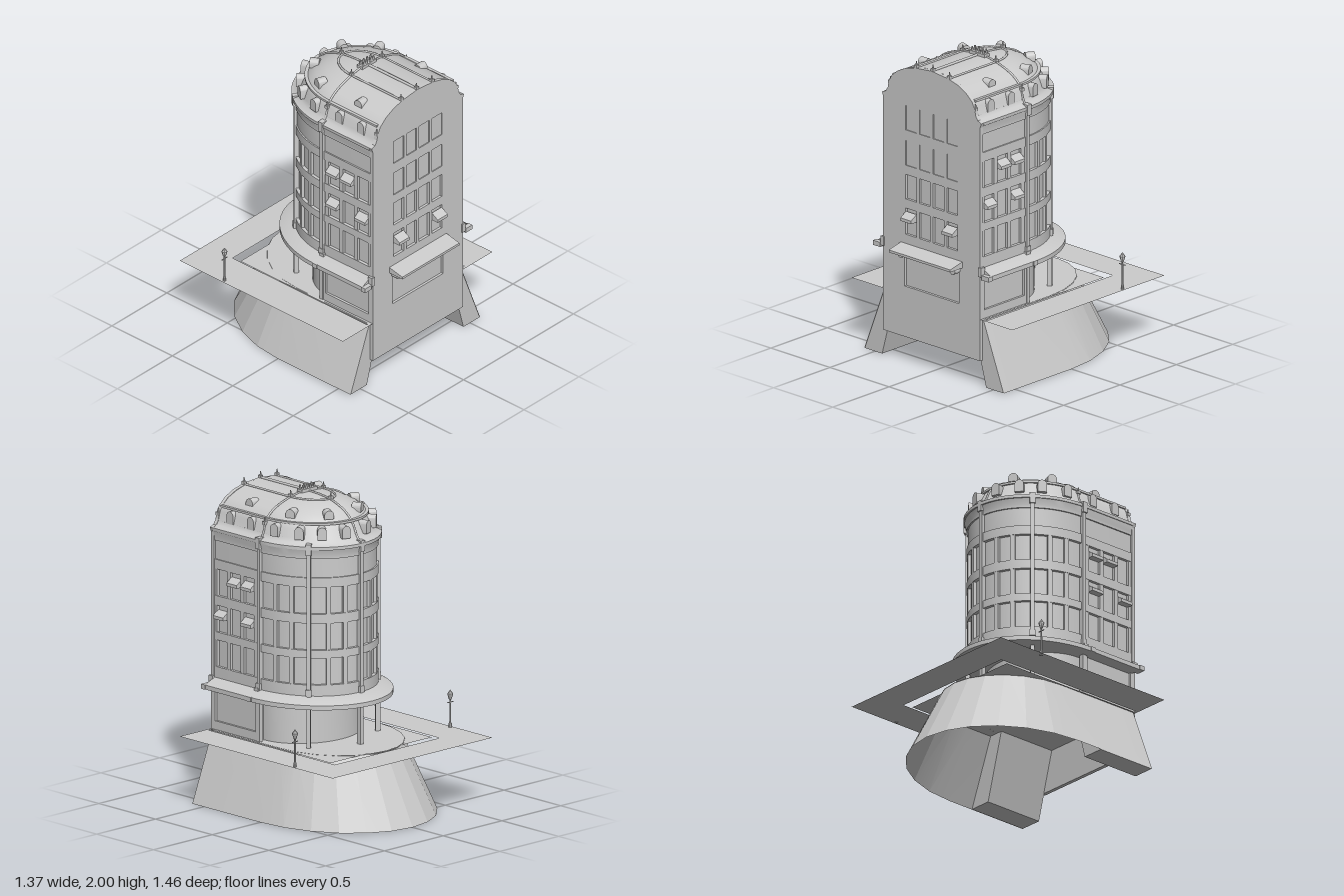
import * as THREE from 'three';
import { toCreasedNormals } from 'three/addons/utils/BufferGeometryUtils.js';

const mat = new THREE.MeshStandardMaterial({ color: 0xcccccc, side: THREE.DoubleSide });
const ZC = 0.2, ZF = 0.6; // start of the rounded back, front plane
const BACK = Math.PI / 2, CORNER = 0.75; // column angles on the curve

export function createModel() {
  const model = new THREE.Group();
  const add = (name, geo, x = 0, y = 0, z = 0, ry = 0) => {
    const m = new THREE.Mesh(geo, mat);
    m.name = name;
    m.position.set(x, y, z);
    m.rotation.y = ry;
    model.add(m);
    return m;
  };
  const box = (name, w, h, d, x, y, z, ry) => add(name, new THREE.BoxGeometry(w, h, d), x, y, z, ry);

  // U-shaped loft: each section is [half width, depth of curve, y]
  const loft = (name, sections, { zc = ZC, n = 32, closed = false, crease = 0.5 } = {}) => {
    const rows = closed ? [...sections, sections[0]] : sections;
    const pos = [], idx = [], w = n + 3;
    for (const [a, b, y] of rows) {
      pos.push(a, y, ZF);
      for (let i = 0; i <= n; i++) {
        const t = Math.PI * i / n;
        pos.push(a * Math.cos(t), y, zc - b * Math.sin(t));
      }
      pos.push(-a, y, ZF);
    }
    for (let j = 0; j < rows.length - 1; j++)
      for (let i = 0; i < w - 1; i++) {
        const p = j * w + i, q = p + w;
        idx.push(p, p + 1, q, p + 1, q + 1, q);
      }
    if (closed) // front end caps
      for (let j = 1; j < sections.length - 1; j++) {
        idx.push(0, j * w, (j + 1) * w);
        idx.push(w - 1, (j + 2) * w - 1, (j + 1) * w - 1);
      }
    const g = new THREE.BufferGeometry();
    g.setAttribute('position', new THREE.Float32BufferAttribute(pos, 3));
    g.setIndex(idx);
    return add(name, toCreasedNormals(g, crease));
  };
  const band = (name, a, b, y0, y1, inset = 0.03) =>
    loft(name, [[a - inset, b - inset, y0], [a, b, y0], [a, b, y1], [a - inset, b - inset, y1]], { closed: true });

  // Point and facing angle on the rounded back
  const onCurve = (a, b, t) => ({
    x: a * Math.cos(t), z: ZC - b * Math.sin(t), ry: Math.atan2(b * Math.cos(t), -a * Math.sin(t)),
  });
  const poly = (pts, Kind = THREE.Shape) => new Kind(pts.map(p => new THREE.Vector2(...p)));
  const rect = (x0, y0, x1, y1, Kind = THREE.Path) => poly([[x0, y0], [x1, y0], [x1, y1], [x0, y1]], Kind);
  const extrude = (shape, depth) => new THREE.ExtrudeGeometry(shape, { depth, bevelEnabled: false, curveSegments: 8 });

  // Flared foundation skirt, its floor and the two solid buttresses at the front
  loft('foundation', [[0.59, 0.73, 0], [0.42, 0.5, 0.437]], { zc: 0, n: 12, crease: 0.2 });
  loft('terraceFloor', [[0.42, 0.5, 0.44], [0, 0, 0.44]], { zc: 0, n: 12 });
  for (const s of [-1, 1])
    add('buttress', extrude(poly([[s * 0.587, 0], [s * 0.417, 0.435], [s * 0.32, 0.435], [s * 0.44, 0]]), 0.42), 0, 0, 0.18);

  // Street plate with a rectangular opening, and the court floor inside it
  const plate = rect(-0.68, -0.62, 0.68, 0.73, THREE.Shape);
  plate.holes.push(rect(-0.44, -0.6, 0.45, 0.51));
  add('streetPlate', new THREE.ShapeGeometry(plate), 0, 0.44, 0).rotation.x = -Math.PI / 2;
  add('courtFloor', new THREE.ShapeGeometry(rect(-0.43, -0.6, 0.43, 0.455, THREE.Shape)), 0, 0.436, 0).rotation.x = -Math.PI / 2;

  // Ground floor: set-back curved wall and framed side shopfronts
  loft('groundFloorWall', [[0.36, 0.31, 0.435], [0.36, 0.31, 0.71]]);
  for (const s of [-1, 1]) {
    box('shopWall', 0.04, 0.28, 0.39, s * 0.375, 0.575, 0.405);
    box('shopSill', 0.02, 0.06, 0.39, s * 0.4, 0.465, 0.405);
    for (const z of [0.22, 0.595]) box('shopJamb', 0.02, 0.27, 0.02, s * 0.4, 0.57, z);
  }

  // Upper wall, floor bands and cornice
  loft('upperWall', [[0.385, 0.45, 0.76], [0.385, 0.45, 1.68]]);
  for (const [y0, y1] of [[0.76, 0.84], [1.01, 1.06], [1.23, 1.29], [1.46, 1.52]]) band('floorBand', 0.405, 0.472, y0, y1);
  band('frieze', 0.396, 0.463, 1.52, 1.64);
  loft('cornice', [[0.38, 0.45, 1.64], [0.405, 0.472, 1.64], [0.405, 0.472, 1.66], [0.415, 0.485, 1.7], [0.42, 0.495, 1.7],
    [0.42, 0.495, 1.72], [0.37, 0.43, 1.72]]);

  // Canopy around the sides and back
  loft('canopy', [[0.34, 0.3, 0.705], [0.482, 0.575, 0.705], [0.482, 0.575, 0.733], [0.405, 0.47, 0.77], [0.375, 0.44, 0.77]], { closed: true });
  for (const s of [-1, 1])
    for (const z of [0.21, 0.612]) {
      box('canopyBracket', 0.06, 0.03, 0.035, s * 0.458, 0.72, z);
      box('canopyBracketTop', 0.025, 0.06, 0.035, s * 0.412, 0.75, z);
    }

  // Piers between the windows
  for (const y of [0.925, 1.145, 1.375])
    for (const s of [-1, 1]) {
      for (const z of [0.59, 0.475, 0.355, 0.235]) box('pier', 0.025, 0.18, 0.03, s * 0.39, y, z);
      for (const [t0, t1] of [[0, CORNER], [CORNER, BACK]])
        for (const f of [0.35, 0.67]) {
          const p = onCurve(0.39, 0.457, t0 + (t1 - t0) * f);
          box('pier', 0.03, 0.18, 0.025, s * p.x, y, p.z, s * p.ry);
        }
    }

  // Full-height columns
  for (const t of [0, CORNER, BACK, Math.PI - CORNER, Math.PI]) {
    const p = onCurve(0.4, 0.468, t);
    box('column', 0.025, 1.29, 0.03, p.x, 1.08, p.z, p.ry);
    box('columnCap', 0.035, 0.07, 0.05, p.x, 1.7, p.z, p.ry);
    box('columnBase', 0.035, 0.04, 0.04, p.x, 0.79, p.z, p.ry);
  }

  // Front facade with curved gable and window openings
  const half = [[0.41, 0.17], [0.41, 1.69], [0.42, 1.72], [0.39, 1.732], [0.372, 1.76], [0.365, 1.8], [0.34, 1.845], [0.29, 1.888],
    [0.22, 1.922], [0.14, 1.943], [0, 1.957]];
  const front = poly([...half, ...half.slice(0, -1).reverse().map(([x, y]) => [-x, y])]);
  for (const [y0, y1] of [[0.84, 1.01], [1.07, 1.23], [1.29, 1.45], [1.52, 1.68]])
    for (const x of [-0.22, -0.105, 0.012, 0.128]) front.holes.push(rect(x, y0, x + 0.092, y1));
  front.holes.push(rect(-0.23, 0.5, 0.23, 0.71));
  add('frontFacade', extrude(front, 0.025), 0, 0, 0.597);
  box('lowerFrontPanes', 0.76, 0.83, 0.01, 0, 0.855, 0.6);
  box('upperFrontPanes', 0.5, 0.42, 0.01, 0, 1.485, 0.611);

  // Awnings: sloped top, closed below, facing +z before turning
  const awning = (name, w, d, h, x, y, z, ry = 0) => {
    const g = extrude(poly([[0, 0], [0, -h], [d, -h], [d, -h * 0.6]]), w);
    g.translate(0, 0, -w / 2).rotateY(-Math.PI / 2);
    add(name, g, x, y, z, ry);
  };
  awning('frontAwning', 0.52, 0.108, 0.04, 0, 0.78, 0.622);
  for (const s of [-1, 1]) {
    add('awningRoll', new THREE.CylinderGeometry(0.022, 0.022, 0.05, 16).rotateX(Math.PI / 2), s * 0.22, 0.72, 0.645);
    awning('windowAwning', 0.09, 0.05, 0.05, s * 0.174, 0.99, 0.62);
    for (const [y, z] of [[1.43, 0.415], [1.43, 0.295], [1.2, 0.535], [1.2, 0.295]])
      awning('windowAwning', 0.09, 0.045, 0.05, s * 0.39, y, z, s * Math.PI / 2);
  }

  // Domed roof
  const roof = [[0.415, 0.49, 1.72], [0.385, 0.455, 1.733], [0.37, 0.435, 1.76], [0.357, 0.412, 1.81], [0.335, 0.385, 1.848],
    [0.285, 0.335, 1.888], [0.22, 0.275, 1.917], [0.14, 0.2, 1.941], [0.07, 0.1, 1.953], [0, 0, 1.956]];
  loft('roof', roof, { crease: 0.7 });
  band('roofMoulding', 0.372, 0.435, 1.745, 1.757);
  band('roofRail', 0.352, 0.405, 1.836, 1.85, 0.025);

  // Raised ribs across and along the roof
  const rib = (pts, r = 0.007) =>
    add('roofRib', new THREE.TubeGeometry(new THREE.CatmullRomCurve3(pts.map(p => new THREE.Vector3(...p))), 40, r, 6));
  const side = roof.slice(1).map(([a, , y]) => [a, y + 0.002, ZC]);
  rib([...side, ...side.slice(0, -1).reverse().map(([x, y, z]) => [-x, y, z])]);
  rib(roof.slice(1).map(([, b, y]) => [0, y + 0.002, ZC - b]));
  rib([[0, 1.958, 0.61], [0, 1.958, 0.4], [0, 1.958, ZC]], 0.01);
  const inner = [];
  for (let i = 0; i <= 12; i++) {
    const p = onCurve(0.14, 0.2, Math.PI * i / 12);
    inner.push([p.x, 1.943, p.z]);
  }
  rib([[0.14, 1.943, 0.61], [0.14, 1.943, 0.4], ...inner, [-0.14, 1.943, 0.4], [-0.14, 1.943, 0.61]]);

  // Finials and the small ridge platform
  for (const [x, y, z] of [[0, 1.955, 0.61], [0.14, 1.943, 0.61], [-0.14, 1.943, 0.61], [0.14, 1.943, ZC], [-0.14, 1.943, ZC],
    [0, 1.945, -0.01], [0.36, 1.81, ZC], [-0.36, 1.81, ZC], [0.36, 1.79, 0.61], [-0.36, 1.79, 0.61]]) {
    box('finialBase', 0.022, 0.02, 0.022, x, y + 0.008, z);
    add('finial', new THREE.CylinderGeometry(0.003, 0.007, 0.035, 8), x, y + 0.024, z);
  }
  box('ridgePlatform', 0.13, 0.02, 0.045, 0, 1.965, ZC);
  for (const x of [-0.048, -0.016, 0.016, 0.048])
    for (const z of [-0.012, 0.012]) add('ridgePin', new THREE.CylinderGeometry(0.005, 0.007, 0.026, 8), x, 1.987, ZC + z);

  // Arched dormers, lower ring and smaller upper ring
  const dormer = (w, h, d, x, y, z, ry) => {
    const s = new THREE.Shape();
    s.moveTo(-w / 2, 0);
    s.lineTo(w / 2, 0);
    s.lineTo(w / 2, h - w / 2);
    s.absarc(0, h - w / 2, w / 2, 0, Math.PI);
    add('dormer', toCreasedNormals(extrude(s, d).translate(0, 0, -d / 2), 0.6), x, y, z, ry);
  };
  for (const s of [-1, 1]) {
    const facing = (x, z) => s * (z > ZC ? Math.PI / 2 : Math.atan2(x * 1.4, z - ZC));
    for (const [x, z] of [[0.348, 0.49], [0.348, 0.31], [0.35, 0.105], [0.3, -0.05], [0.212, -0.15], [0.086, -0.217]])
      dormer(0.056, 0.08, 0.06, s * x, 1.755, z, facing(x, z));
    for (const [x, z] of [[0.27, 0.4], [0.262, 0.06], [0.125, -0.115]])
      dormer(0.06, 0.055, 0.06, s * x, 1.865, z, facing(x, z));
  }

  // Street lamps
  for (const s of [-1, 1]) {
    const lamp = [[0, 0], [0.01, 0], [0.01, 0.03], [0.006, 0.035], [0.005, 0.18], [0.009, 0.185], [0.018, 0.215], [0.018, 0.22],
      [0.007, 0.235], [0, 0.245]].map(p => new THREE.Vector2(...p));
    add('streetLamp', toCreasedNormals(new THREE.LatheGeometry(lamp, 8), 0.3), s * 0.66, 0.435, -0.378);
    box('lampCrossbar', 0.05, 0.005, 0.005, s * 0.66, 0.6, -0.378);
  }
  return model;
}
